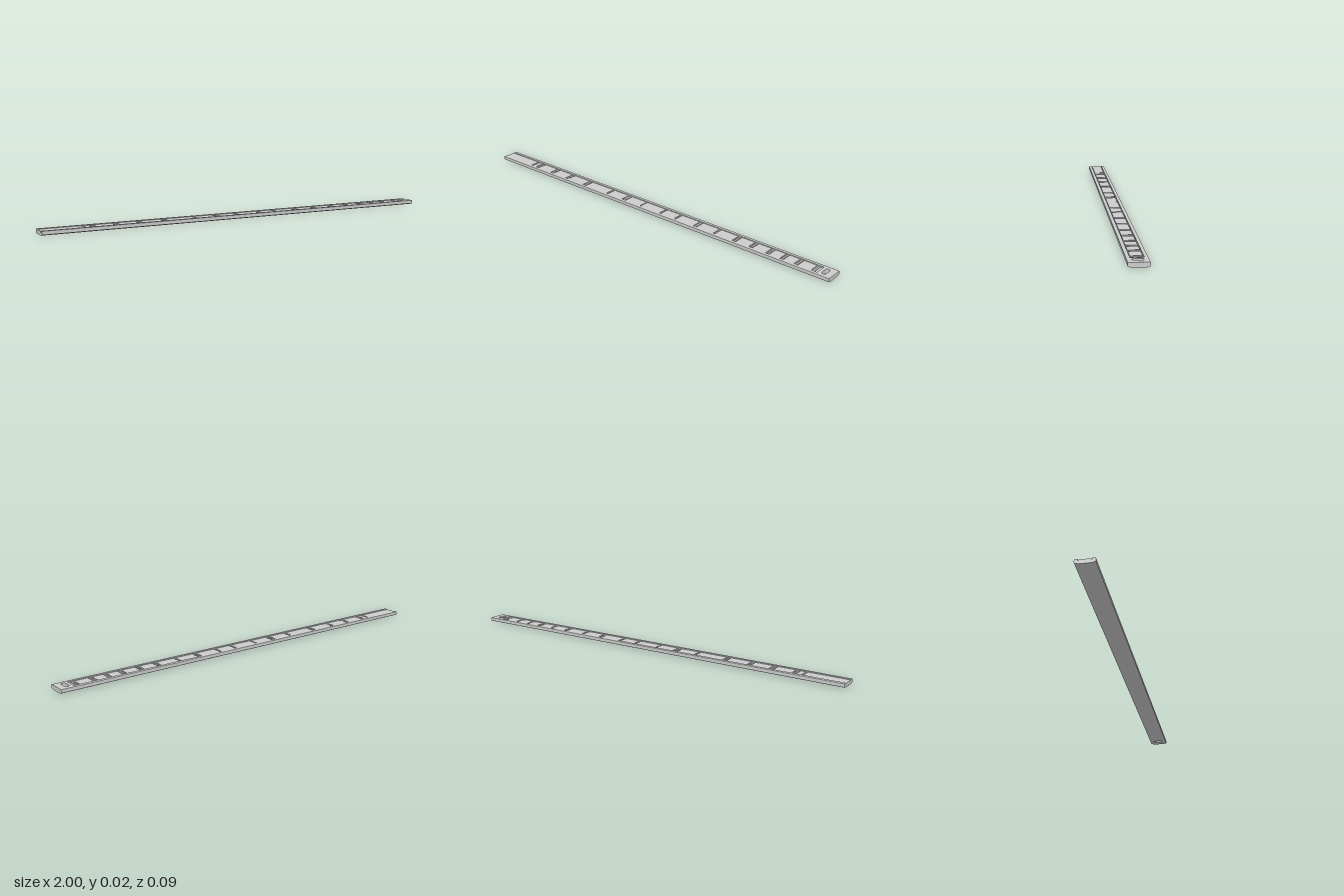
import * as THREE from 'three';

const TOP = 0.021, INNER = 0.028, FLOOR = 0.014, PAD_TOP = 0.019;

export function createModel() {
  const group = new THREE.Group();
  const mat = new THREE.MeshStandardMaterial({ color: 0xcccccc, flatShading: true });
  const add = (geo, name) => {
    const mesh = new THREE.Mesh(geo, mat);
    mesh.name = name;
    group.add(mesh);
    return mesh;
  };
  const box = (x0, x1, y0, y1, z0, z1, name) => {
    const geo = new THREE.BoxGeometry(x1 - x0, y1 - y0, z1 - z0);
    geo.translate((x0 + x1) / 2, (y0 + y1) / 2, (z0 + z1) / 2);
    return add(geo, name);
  };

  // Side rails: rounded outer edge, slightly raised belly underneath
  const half = [[INNER, 0], [0.031, 0.001], [0.037, 0.003], [0.041, 0.0035], [0.0427, 0.0045],
    [0.0435, 0.0065], [0.0435, 0.018], [0.0427, 0.0202], [0.041, TOP], [INNER, TOP]];
  for (const side of [1, -1]) {
    const shape = new THREE.Shape(half.map(([z, y]) => new THREE.Vector2(side * z, y)));
    const geo = new THREE.ExtrudeGeometry(shape, { depth: 2, bevelEnabled: false });
    geo.rotateY(-Math.PI / 2);
    geo.translate(1, 0, 0);
    add(geo, side > 0 ? 'frontRail' : 'backRail');
  }

  // Sunken channel floor
  box(-1, 0.935, 0, FLOOR, -INNER, INNER, 'channelFloor');

  // End block pierced by a rounded slot
  const plan = new THREE.Shape();
  plan.moveTo(0.935, -INNER).lineTo(1, -INNER).lineTo(1, INNER).lineTo(0.935, INNER).closePath();
  const slot = new THREE.Path();
  const cx = 0.96, r = 0.0105, h = 0.0135;
  slot.absarc(cx, h, r, 0, Math.PI, false);
  slot.absarc(cx, -h, r, Math.PI, Math.PI * 2, false);
  slot.closePath();
  plan.holes.push(slot);
  const endGeo = new THREE.ExtrudeGeometry(plan, { depth: TOP, bevelEnabled: false, curveSegments: 10 });
  endGeo.rotateX(-Math.PI / 2);
  add(endGeo, 'slottedEnd');

  // Long plain insert at the open end
  box(-1, -0.805, FLOOR - 0.002, PAD_TOP, -0.025, 0.025, 'endInsert');

  // Row of pads, each entry the centre and width of the gap between neighbours
  const gaps = [[-0.8, 0.008], [-0.76, 0.022], [-0.65, 0.022], [-0.54, 0.02], [-0.415, 0.022], [-0.26, 0.01],
    [-0.15, 0.024], [-0.043, 0.006], [0.08, 0.01], [0.17, 0.01], [0.288, 0.02], [0.397, 0.01], [0.507, 0.02],
    [0.597, 0.02], [0.685, 0.02], [0.758, 0.018], [0.83, 0.02], [0.915, 0.022]];
  for (let i = 0; i < gaps.length - 1; i++) {
    const [a, wa] = gaps[i], [b, wb] = gaps[i + 1];
    box(a + wa / 2, b - wb / 2, FLOOR - 0.002, PAD_TOP, -0.025, 0.025, 'pad');
  }

  // Thin cross rib in the middle of each wide gap
  for (const [x, w] of gaps) {
    if (w > 0.015) box(x - 0.004, x + 0.004, FLOOR - 0.002, PAD_TOP - 0.002, -INNER, INNER, 'crossRib');
  }
  return group;
}
